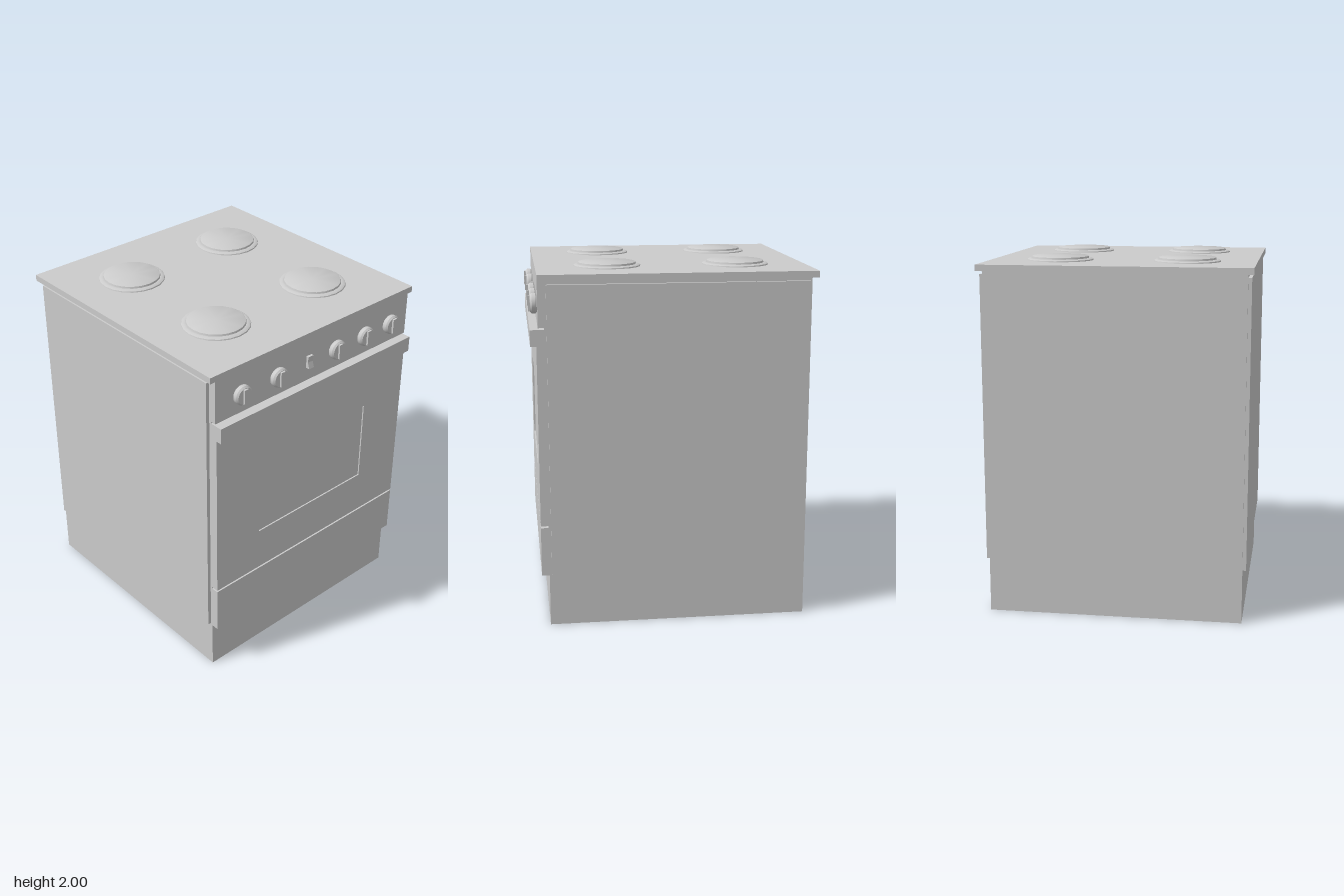
import * as THREE from 'three';
import { toCreasedNormals } from 'three/addons/utils/BufferGeometryUtils.js';

export function createModel() {
  const stove = new THREE.Group();
  stove.name = 'stove';
  const grey = new THREE.MeshStandardMaterial({ color: 0xcccccc });

  function add(name, geometry, parent = stove) {
    const mesh = new THREE.Mesh(geometry, grey);
    mesh.name = name;
    parent.add(mesh);
    return mesh;
  }
  // Box given by its lower and upper limits on each axis
  function box(name, [x0, x1], [y0, y1], [z0, z1], parent) {
    const mesh = add(name, new THREE.BoxGeometry(x1 - x0, y1 - y0, z1 - z0), parent);
    mesh.position.set((x0 + x1) / 2, (y0 + y1) / 2, (z0 + z1) / 2);
    return mesh;
  }
  const lathe = (points, sides) => toCreasedNormals(
    new THREE.LatheGeometry(points.map(([r, y]) => new THREE.Vector2(r, y)), sides), 0.5);

  // Cabinet and side panels
  const width = [-0.717, 0.717];
  box('body', width, [0, 1.94], [-0.748, 0.703]);
  box('leftSidePanel', [0.717, 0.737], [0.305, 1.92], [-0.735, 0.69]);
  box('rightSidePanel', [-0.737, -0.717], [0.305, 1.92], [-0.735, 0.69]);
  box('cooktop', [-0.749, 0.749], [1.94, 1.975], [-0.779, 0.737]);

  // Front panels, separated by narrow gaps
  box('drawer', width, [0.295, 0.573], [0.703, 0.746]);
  box('controlPanel', width, [1.69, 1.94], [0.703, 0.736]);

  // Oven door with a slightly recessed window
  const frame = new THREE.Shape();
  frame.moveTo(-0.717, 0.584).lineTo(0.717, 0.584).lineTo(0.717, 1.68).lineTo(-0.717, 1.68).closePath();
  const opening = new THREE.Path();
  opening.moveTo(-0.405, 0.842).lineTo(-0.405, 1.33).lineTo(0.405, 1.33).lineTo(0.405, 0.842).closePath();
  frame.holes.push(opening);
  const door = add('ovenDoor', new THREE.ExtrudeGeometry(frame, { depth: 0.043, bevelEnabled: false }));
  door.position.z = 0.703;
  box('ovenWindow', [-0.405, 0.405], [0.842, 1.33], [0.703, 0.738]);
  box('doorHandle', width, [1.59, 1.68], [0.746, 0.779]);

  // Hotplates: sloped rim with a raised disc
  const plate = lathe([[0.188, 0], [0.186, 0.006], [0.174, 0.012], [0.163, 0.012],
    [0.16, 0.022], [0.154, 0.025], [0, 0.025]], 20);
  for (const x of [-0.36, 0.36]) {
    for (const z of [-0.388, 0.336]) {
      add('hotplate', plate).position.set(x, 1.975, z);
    }
  }

  // Knobs with a grip bar
  const dial = lathe([[0.05, 0], [0.055, 0.006], [0.055, 0.026], [0.047, 0.036], [0, 0.036]], 20);
  dial.rotateX(Math.PI / 2);
  for (const x of [-0.545, -0.288, 0.145, 0.368, 0.574]) {
    const knob = new THREE.Group();
    knob.name = 'knob';
    knob.position.set(x, 1.803, 0.736);
    add('dial', dial, knob);
    box('grip', [-0.014, 0.014], [-0.043, 0.043], [0, 0.047], knob);
    stove.add(knob);
  }

  // Rocker switch, thicker at its lower end
  const profile = new THREE.Shape();
  profile.moveTo(0, 1.77).lineTo(0.024, 1.77).lineTo(0.012, 1.805).lineTo(0.016, 1.84).lineTo(0, 1.84).closePath();
  const rocker = new THREE.ExtrudeGeometry(profile, { depth: 0.036, bevelEnabled: false });
  rocker.rotateY(-Math.PI / 2);
  add('rockerSwitch', rocker).position.set(-0.04, 0, 0.736);

  return stove;
}
